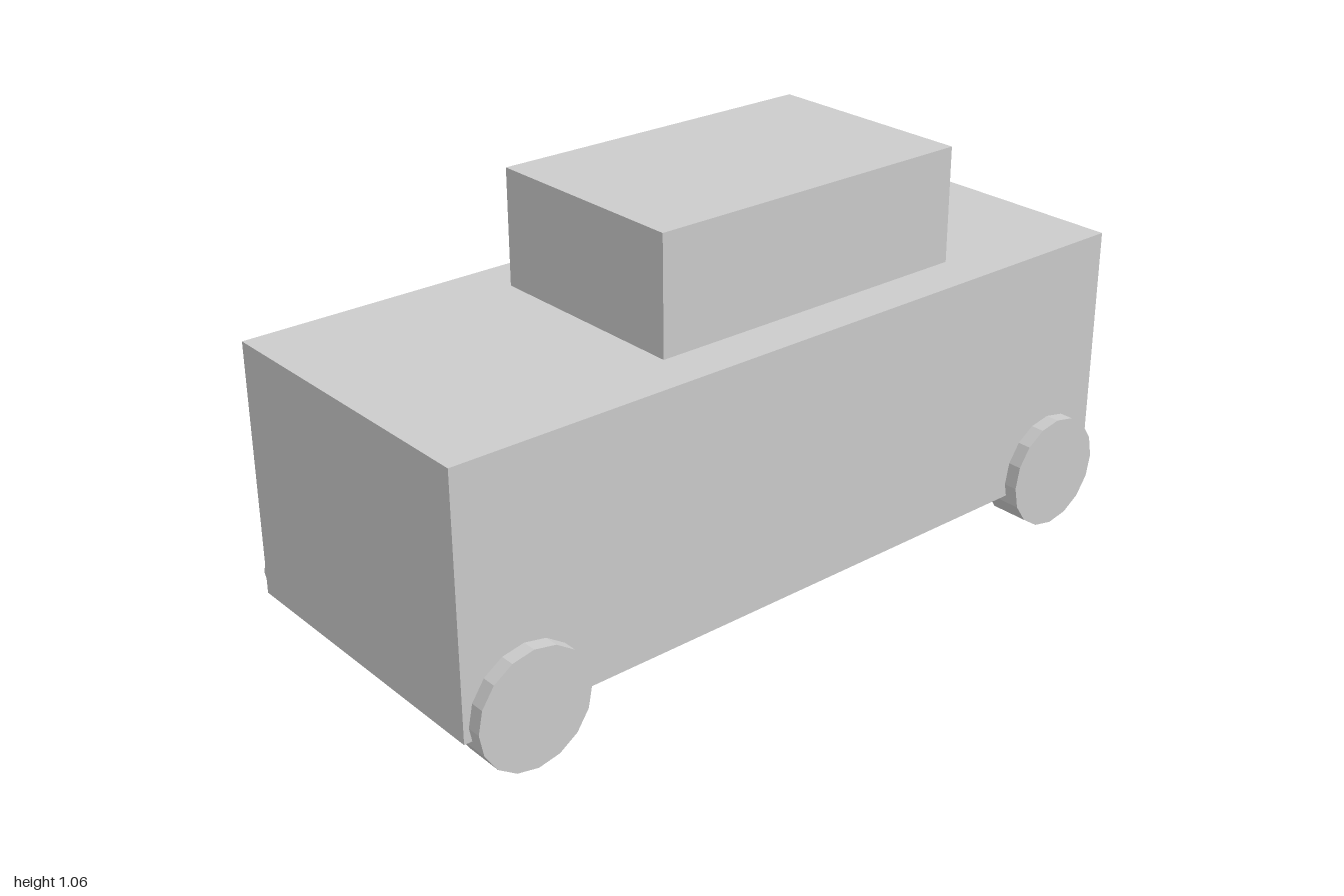
import * as THREE from 'three';

export function createModel() {
  const group = new THREE.Group();
  const material = new THREE.MeshStandardMaterial({ color: 0xcccccc, flatShading: true });

  const add = (name, geometry, x, y, z) => {
    const mesh = new THREE.Mesh(geometry, material);
    mesh.name = name;
    mesh.position.set(x, y, z);
    group.add(mesh);
  };

  // Main body and the cabin set slightly towards the back
  add('body', new THREE.BoxGeometry(0.814, 0.65, 2), 0, 0.439, 0);
  add('cabin', new THREE.BoxGeometry(0.57, 0.296, 0.9), 0, 0.912, -0.1);

  // Four 16-sided wheels, axles along x, partly sunk into the body
  const wheel = new THREE.CylinderGeometry(0.149, 0.149, 0.102, 16).rotateZ(Math.PI / 2);
  for (const [end, z] of [['front', 0.837], ['back', -0.837]]) {
    for (const [side, x] of [['Left', 0.392], ['Right', -0.392]]) {
      add(`${end}${side}Wheel`, wheel, x, 0.149, z);
    }
  }
  return group;
}
